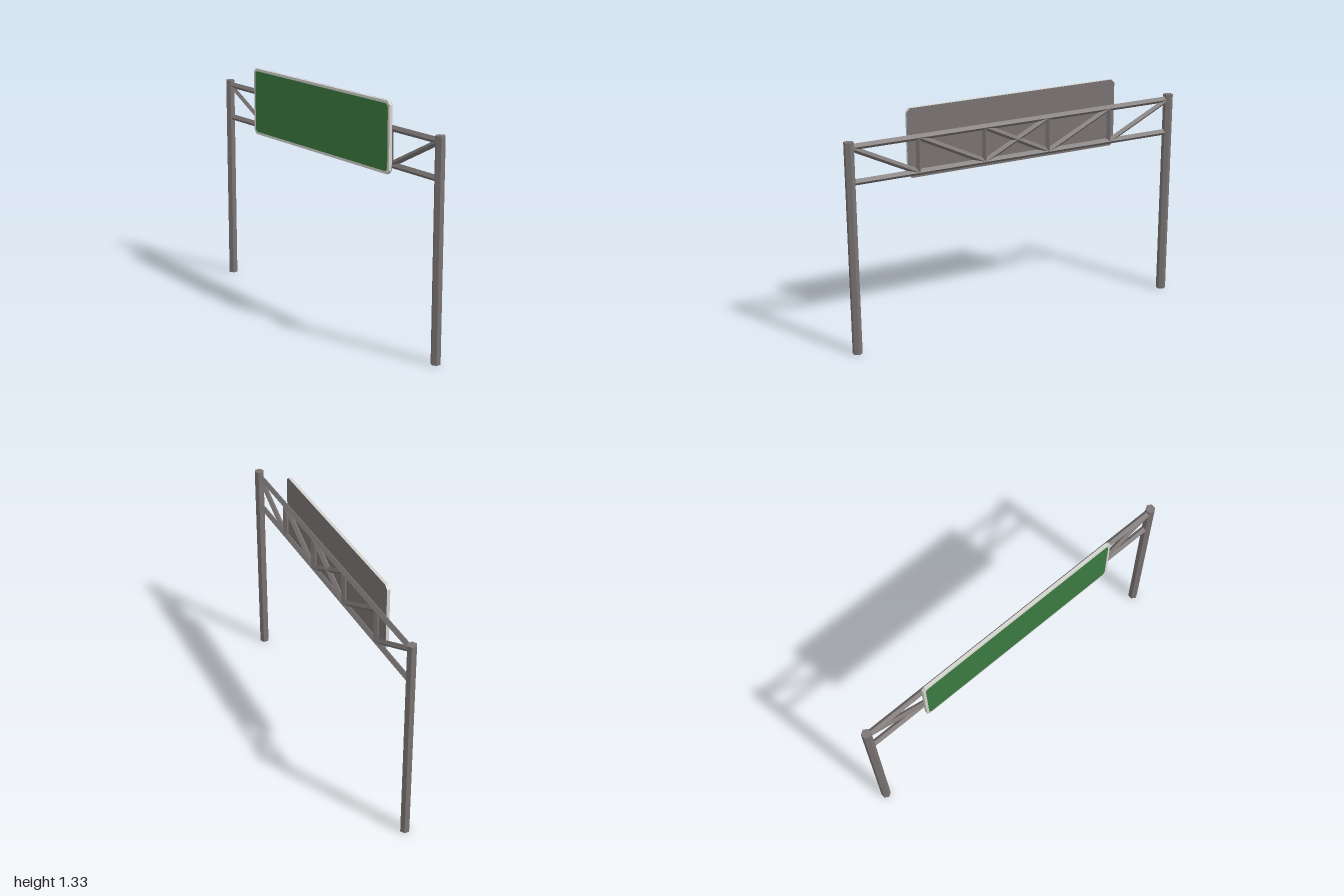
import * as THREE from 'three';

export function createModel() {
  const model = new THREE.Group();
  model.name = 'overheadRoadSign';

  const mat = (name, color) => {
    const m = new THREE.MeshStandardMaterial({ color });
    m.name = name;
    m.flatShading = true;
    return m;
  };
  const steel = mat('steel grey', 0x7a7473);
  const trim = mat('light grey trim', 0xd4d4cf);
  const green = mat('sign green', 0x3b7a40);

  const POST_X = 0.975, Z = -0.01, TOP = 1.181, BOTTOM = 0.986;

  const add = (name, geometry, material, x, y, z) => {
    const mesh = new THREE.Mesh(geometry, material);
    mesh.name = name;
    mesh.position.set(x, y, z);
    model.add(mesh);
    return mesh;
  };

  // Four-sided bar, edge forward, between two points in the truss plane
  const bar = (name, x1, y1, x2, y2, r = 0.0175) => {
    const dx = x2 - x1, dy = y2 - y1;
    const geometry = new THREE.CylinderGeometry(r, r, Math.hypot(dx, dy), 4);
    const mesh = add(name, geometry, steel, (x1 + x2) / 2, (y1 + y2) / 2, Z);
    mesh.rotation.z = Math.atan2(-dx, dy);
  };

  // Long horizontal chords
  bar('topChord', -POST_X, TOP, POST_X, TOP);
  bar('bottomChord', -POST_X, BOTTOM, POST_X, BOTTOM);

  // Hexagonal posts, uprights and braces, mirrored; the middle braces cross
  for (const s of [-1, 1]) {
    const side = s > 0 ? 'left' : 'right';
    add(side + 'Post', new THREE.CylinderGeometry(0.0275, 0.0275, 1.21, 6), steel, s * POST_X, 0.605, Z);
    for (const x of [0.195, 0.585]) bar(side + 'Upright', s * x, BOTTOM, s * x, TOP, 0.016);
    for (const x of [0.975, 0.585, 0.195]) bar(side + 'Brace', s * x, TOP, s * (x - 0.39), BOTTOM, 0.016);
  }

  // Rectangular panel with cut corners
  const panel = (w, h, cut, depth) => {
    const x = w / 2, y = h / 2;
    const shape = new THREE.Shape([
      [x - cut, -y], [x, -y + cut], [x, y - cut], [x - cut, y],
      [-x + cut, y], [-x, y - cut], [-x, -y + cut], [-x + cut, -y],
    ].map(([a, b]) => new THREE.Vector2(a, b)));
    return new THREE.ExtrudeGeometry(shape, { depth, bevelEnabled: false });
  };

  // Sign: light border slab, green face and grey back
  const signY = 1.14;
  add('signBorder', panel(1.266, 0.388, 0.02, 0.018), trim, 0, signY, 0.023);
  add('signFace', panel(1.236, 0.358, 0.015, 0.001), green, 0, signY, 0.041);
  add('signBack', panel(1.266, 0.388, 0.02, 0.001), steel, 0, signY, 0.022);

  return model;
}
